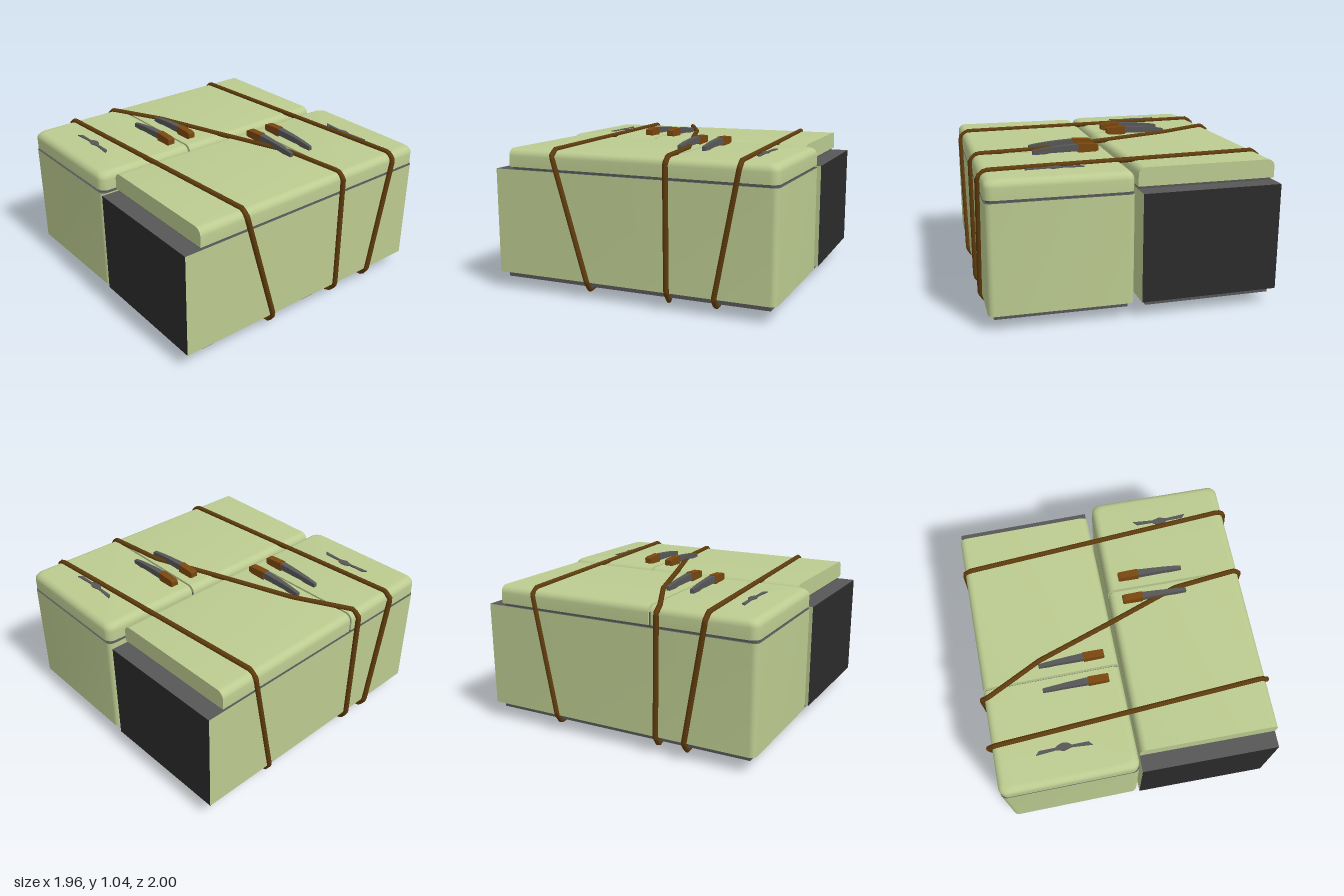
import * as THREE from 'three';
import { toCreasedNormals } from 'three/addons/utils/BufferGeometryUtils.js';

const mat = (name, color) => {
  const m = new THREE.MeshStandardMaterial({ color });
  m.name = name;
  return m;
};

// Plan outline: square corners at the front, rounded corners (radius r) at the back
function outline(w, back, front, r) {
  const pts = [[w, front]];
  const n = r > 0 ? 6 : 0;
  for (let s = 0; s < 2; s++) {
    for (let i = 0; i <= n; i++) {
      const a = (s + (n ? i / n : 0)) * Math.PI / 2;
      const cx = s === 0 ? w - r : r - w;
      pts.push([cx + r * Math.cos(a), back + r - r * Math.sin(a)]);
    }
  }
  pts.push([-w, front]);
  return pts;
}

// Skin a stack of plan outlines; group 0 = sides, 1 = top, 2 = bottom
function loft(levels) {
  const pos = [];
  const n = levels[0].pts.length;
  const P = (l, i) => [l.pts[i % n][0], l.y, l.pts[i % n][1]];
  for (let k = 0; k < levels.length - 1; k++) {
    const lo = levels[k], hi = levels[k + 1];
    for (let i = 0; i < n; i++) {
      pos.push(...P(lo, i), ...P(lo, i + 1), ...P(hi, i + 1));
      pos.push(...P(lo, i), ...P(hi, i + 1), ...P(hi, i));
    }
  }
  const sides = pos.length / 3;
  const top = levels[levels.length - 1], bottom = levels[0];
  for (let i = 1; i < n - 1; i++) pos.push(...P(top, 0), ...P(top, i), ...P(top, i + 1));
  for (let i = 1; i < n - 1; i++) pos.push(...P(bottom, 0), ...P(bottom, i + 1), ...P(bottom, i));
  const g = new THREE.BufferGeometry();
  g.setAttribute('position', new THREE.Float32BufferAttribute(pos, 3));
  const cap = (n - 2) * 3;
  g.addGroup(0, sides, 0);
  g.addGroup(sides, cap, 1);
  g.addGroup(sides + cap, cap, 2);
  return toCreasedNormals(g, 0.6);
}

// Door panel with rolled top edges; the back edge rolls only when rounded
function doorGeometry(w, back, front, r) {
  const roll = 0.05, y0 = 0.855, y1 = 0.978;
  const levels = [{ y: y0, pts: outline(w, back, front, r) }];
  for (let i = 0; i <= 6; i++) {
    const a = i / 6 * Math.PI / 2;
    const d = roll * (1 - Math.cos(a));
    levels.push({ y: y1 - roll + roll * Math.sin(a), pts: outline(w - d, r ? back + d : back, front, r) });
  }
  return loft(levels);
}

export function createModel() {
  const green = mat('paleGreenEnamel', 0xbccb90);
  const gray = mat('grayMetal', 0x575758);
  const black = mat('blackPanel', 0x2b2b2b);
  const wood = mat('brownGrip', 0x7a470f);
  const ropeMat = mat('brownRope', 0x5e3b0c);

  const model = new THREE.Group();
  model.name = 'strappedFridges';
  const add = (parent, name, geo, material, x = 0, y = 0, z = 0) => {
    const m = new THREE.Mesh(geo, material);
    m.name = name;
    m.position.set(x, y, z);
    parent.add(m);
    return m;
  };

  const W = 0.467, L = 0.993;

  function fridge(name) {
    const g = new THREE.Group();
    g.name = name;

    // Cabinet with dark back panel and inset base
    const plan = outline(W, -L, L - 0.004, 0.04);
    add(g, 'cabinet', loft([{ y: 0.115, pts: plan }, { y: 0.837, pts: plan }]), [green, gray, gray]);
    add(g, 'backPanel', new THREE.BoxGeometry(W * 2, 0.722, 0.006), [green, green, gray, gray, black, black], 0, 0.476, L - 0.003);
    add(g, 'base', new THREE.BoxGeometry(0.86, 0.04, 1.9), [gray, gray, gray, black, gray, gray], 0, 0.097, 0);

    // Seal and the two doors
    const seal = outline(W - 0.015, -L + 0.015, 0.868, 0.04);
    add(g, 'doorSeal', loft([{ y: 0.83, pts: seal }, { y: 0.862, pts: seal }]), gray);
    add(g, 'smallDoor', doorGeometry(W, -L, -0.282, 0.055), green);
    add(g, 'largeDoor', doorGeometry(W, -0.266, 0.883, 0), green);
    add(g, 'doorGapTrim', new THREE.BoxGeometry(W * 2 - 0.02, 0.08, 0.018), gray, 0, 0.895, -0.274);

    // Handles: tapering lever with a thick grip
    const lever = new THREE.Shape();
    lever.moveTo(-0.25, 0.99);
    lever.lineTo(-0.05, 0.985);
    lever.lineTo(0.04, 0.97);
    lever.lineTo(0.07, 0.97);
    lever.lineTo(0.07, 1.006);
    lever.quadraticCurveTo(-0.04, 1.028, -0.25, 1.036);
    for (const z of [-0.362, -0.187]) {
      const geo = new THREE.ExtrudeGeometry(lever, { depth: 0.044, bevelEnabled: false, curveSegments: 6 });
      geo.translate(0, 0, -0.022);
      const p = geo.attributes.position;
      for (let i = 0; i < p.count; i++) p.setZ(i, p.getZ(i) * (1 - 0.45 * (p.getX(i) + 0.25) / 0.32));
      add(g, 'handleLever', toCreasedNormals(geo, 0.5), gray, 0, 0, z);
      const grip = new THREE.Shape();
      grip.moveTo(-0.38, 0.99);
      grip.lineTo(-0.36, 0.983);
      grip.lineTo(-0.24, 0.98);
      grip.lineTo(-0.24, 1.04);
      grip.lineTo(-0.36, 1.034);
      grip.lineTo(-0.38, 1.026);
      const gripGeo = new THREE.ExtrudeGeometry(grip, { depth: 0.05, bevelEnabled: false });
      add(g, 'handleGrip', gripGeo, wood, 0, 0, z - 0.025);
    }

    // Winged trim plate on the small door
    const badge = new THREE.Shape();
    badge.moveTo(-0.19, 0.786);
    badge.lineTo(-0.165, 0.758);
    badge.lineTo(-0.055, 0.758);
    badge.quadraticCurveTo(-0.03, 0.735, 0, 0.735);
    badge.quadraticCurveTo(0.03, 0.735, 0.055, 0.758);
    badge.lineTo(0.165, 0.758);
    badge.lineTo(0.19, 0.786);
    badge.lineTo(0.05, 0.775);
    badge.lineTo(0, 0.79);
    badge.lineTo(-0.05, 0.775);
    const badgeGeo = new THREE.ExtrudeGeometry(badge, { depth: 0.009, bevelEnabled: false });
    badgeGeo.rotateX(-Math.PI / 2);
    add(g, 'trimPlate', badgeGeo, gray, 0, 0.976, 0);
    return g;
  }

  const leftFridge = fridge('leftFridge');
  leftFridge.position.set(0.48, 0, -0.003);
  const rightFridge = fridge('rightFridge');
  rightFridge.position.set(-0.485, 0, -0.004);
  rightFridge.rotation.y = Math.PI + 0.016;
  model.add(leftFridge, rightFridge);

  // Ropes: closed loops of straight runs around both cabinets.
  // z values: top left, top right, bottom right, bottom left
  function rope(name, [tl, tr, br, bl], topMid, bottomMid) {
    const xl = -0.963, xr = 0.958, yt = 0.984, yb = 0.06;
    const pts = [
      [xl, 0.945, tl], [-0.915, yt, tl], ...topMid,
      [0.91, yt, tr], [xr, 0.945, tr],
      [xr, 0.12, br], [0.915, yb, br], ...bottomMid,
      [-0.92, yb, bl], [xl, 0.12, bl],
    ].map((p) => new THREE.Vector3(...p));
    const path = new THREE.CurvePath();
    pts.forEach((p, i) => path.add(new THREE.LineCurve3(p, pts[(i + 1) % pts.length])));
    add(model, name, new THREE.TubeGeometry(path, 260, 0.018, 8, true), ropeMat);
  }
  rope('backRope', [-0.615, -0.757, -0.6, -0.46], [], []);
  rope('middleRope', [0.335, -0.275, -0.278, 0.32],
    [[-0.54, 0.984, 0.14], [0, 0.984, -0.05], [0.48, 0.984, -0.225]],
    [[0.48, 0.02, -0.12], [-0.25, 0.02, 0.12]]);
  rope('frontRope', [0.67, 0.54, 0.3, 0.525], [], []);

  return model;
}
